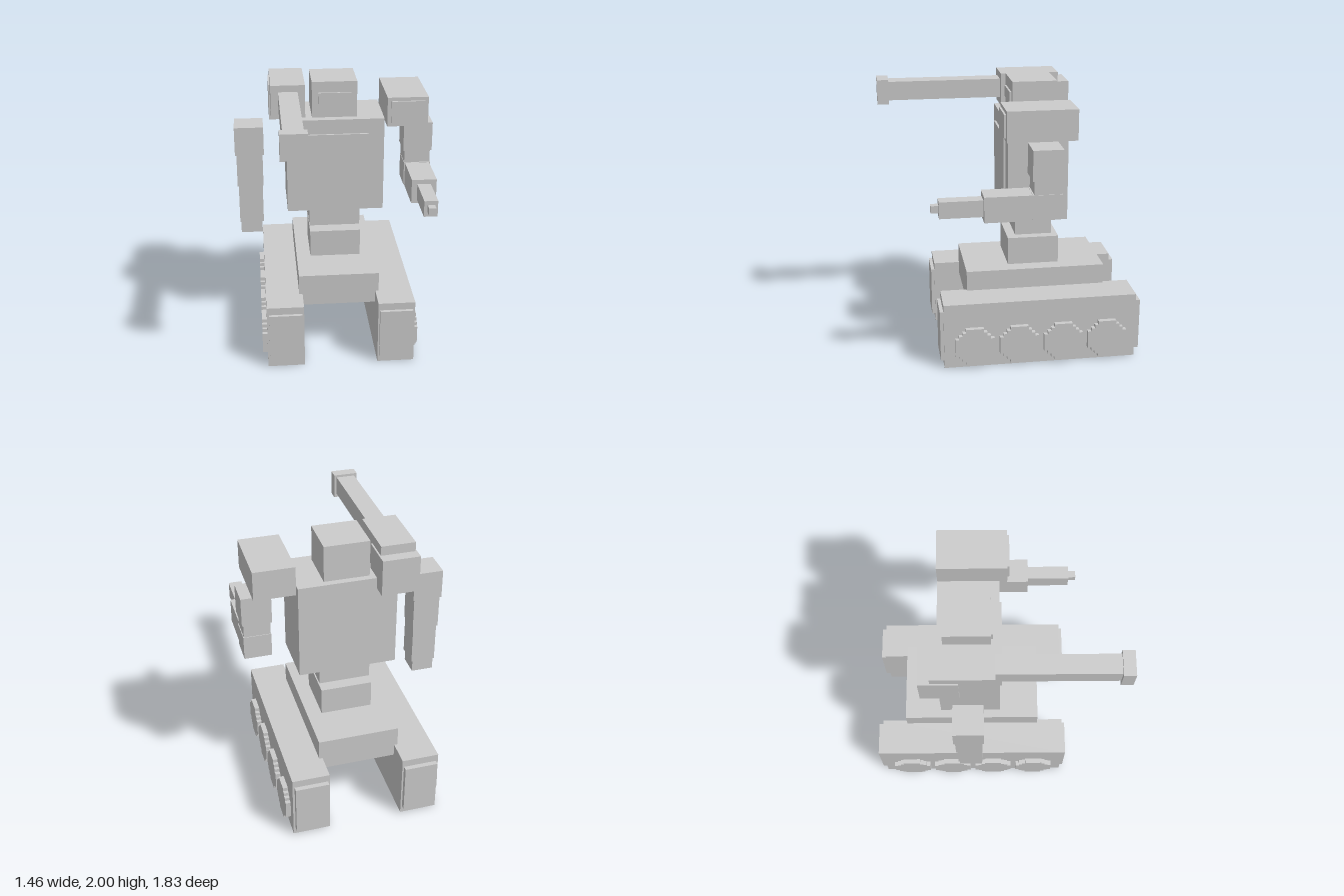
import * as THREE from 'three';

const material = new THREE.MeshStandardMaterial({ color: 0xcccccc, flatShading: true });

// Box given by its [min, max] extent on each axis
function box(parent, name, [x0, x1], [y0, y1], [z0, z1]) {
  const mesh = new THREE.Mesh(new THREE.BoxGeometry(x1 - x0, y1 - y0, z1 - z0), material);
  mesh.position.set((x0 + x1) / 2, (y0 + y1) / 2, (z0 + z1) / 2);
  mesh.name = name;
  parent.add(mesh);
  return mesh;
}

function part(parent, name) {
  const group = new THREE.Group();
  group.name = name;
  parent.add(group);
  return group;
}

// Stepped disc, extruded and turned to face along x
function wheelGeometry(depth) {
  const steps = [[0.142, 0.065], [0.115, 0.09], [0.09, 0.115], [0.065, 0.142]];
  const quarter = [];
  steps.forEach(([x, y], i) => {
    if (i > 0) quarter.push([x, steps[i - 1][1]]);
    quarter.push([x, y]);
  });
  const points = [];
  for (let q = 0; q < 4; q++) {
    for (const [x, y] of quarter) {
      const p = new THREE.Vector2(x, y).rotateAround(new THREE.Vector2(), q * Math.PI / 2);
      points.push(p);
    }
  }
  const geometry = new THREE.ExtrudeGeometry(new THREE.Shape(points), { depth, bevelEnabled: false });
  return geometry.rotateY(Math.PI / 2).translate(-depth / 2, 0, 0);
}

export function createModel() {
  const model = new THREE.Group();
  model.name = 'trackedRobot';

  // Tracks with end plates and stepped wheels on the outer faces
  const wheel = wheelGeometry(0.045);
  for (const side of [-1, 1]) {
    const track = part(model, side > 0 ? 'leftTrack' : 'rightTrack');
    const span = (a, b) => (side > 0 ? [a, b] : [-b, -a]);
    box(track, 'trackBody', span(0.27, 0.54), [0, 0.49], [-0.88, 0.525]);
    box(track, 'trackFrontPlate', span(0.282, 0.525), [0.055, 0.435], [0.515, 0.55]);
    box(track, 'trackBackPlate', span(0.282, 0.525), [0.055, 0.435], [-0.915, -0.87]);
    for (let i = 0; i < 4; i++) {
      const mesh = new THREE.Mesh(wheel, material);
      mesh.name = 'wheel';
      mesh.position.set(side * 0.5535, 0.166, 0.305 - i * 0.323);
      track.add(mesh);
    }
  }

  // Chassis and two-piece waist, separated by a narrow gap
  box(model, 'chassis', [-0.295, 0.295], [0.397, 0.637], [-0.69, 0.33]);
  box(model, 'lowerWaist', [-0.19, 0.187], [0.637, 0.842], [-0.367, 0.01]);
  box(model, 'upperWaist', [-0.19, 0.187], [0.868, 1.03], [-0.312, -0.043]);

  // Torso and head
  box(model, 'torso', [-0.355, 0.353], [1.03, 1.735], [-0.395, 0.035]);
  box(model, 'chestPlate', [-0.243, 0.24], [1.247, 1.627], [0.02, 0.05]);
  box(model, 'head', [-0.165, 0.16], [1.735, 2.0], [-0.347, -0.025]);
  box(model, 'visor', [-0.12, 0.117], [1.84, 1.92], [-0.04, -0.012]);

  // Shoulder cannon on the right
  const cannon = part(model, 'cannon');
  box(cannon, 'cannonHousing', [-0.46, -0.215], [1.747, 1.988], [-0.425, 0.003]);
  box(cannon, 'cannonMount', [-0.47, -0.203], [1.655, 1.92], [-0.505, -0.24]);
  box(cannon, 'cannonBarrel', [-0.406, -0.267], [1.803, 1.94], [-0.01, 0.84]);
  box(cannon, 'cannonMuzzle', [-0.428, -0.248], [1.777, 1.958], [0.828, 0.912]);

  // Shoulder pod on the left
  const pod = part(model, 'shoulderPod');
  box(pod, 'podBody', [0.365, 0.658], [1.692, 1.906], [-0.395, 0.09]);
  box(pod, 'podFrontPlate', [0.392, 0.632], [1.72, 1.88], [0.08, 0.104]);

  // Right arm, hanging straight
  const rightArm = part(model, 'rightArm');
  box(rightArm, 'rightShoulder', [-0.73, -0.518], [1.437, 1.652], [-0.287, -0.077]);
  box(rightArm, 'rightUpperArm', [-0.72, -0.528], [1.19, 1.437], [-0.277, -0.09]);
  box(rightArm, 'rightForearm', [-0.712, -0.534], [0.895, 1.19], [-0.27, -0.095]);
  box(rightArm, 'rightHand', [-0.705, -0.545], [0.805, 0.895], [-0.262, -0.1]);

  // Left arm, bent forward into a gun
  const leftArm = part(model, 'leftArm');
  box(leftArm, 'leftShoulder', [0.514, 0.726], [1.437, 1.652], [-0.287, -0.077]);
  box(leftArm, 'leftUpperArm', [0.525, 0.715], [1.33, 1.437], [-0.277, -0.09]);
  box(leftArm, 'leftElbow', [0.522, 0.72], [1.165, 1.34], [-0.282, -0.08]);
  box(leftArm, 'leftForearm', [0.53, 0.71], [1.157, 1.338], [-0.235, 0.25]);
  box(leftArm, 'gunBarrel', [0.57, 0.667], [1.187, 1.305], [0.24, 0.55]);
  box(leftArm, 'gunTip', [0.594, 0.646], [1.223, 1.274], [0.54, 0.605]);

  return model;
}
